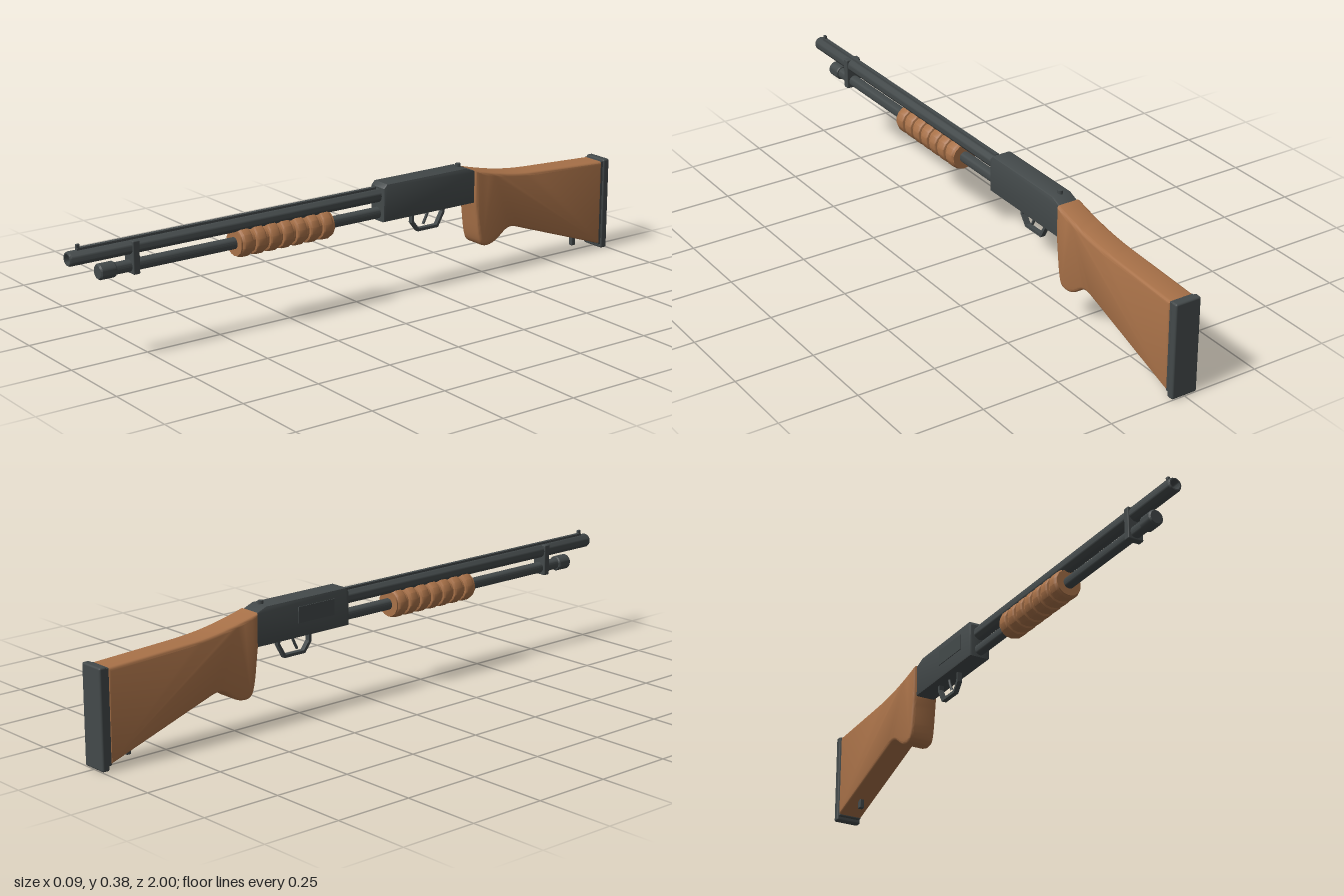
import * as THREE from 'three';
import { toCreasedNormals } from 'three/addons/utils/BufferGeometryUtils.js';
import { RoundedBoxGeometry } from 'three/addons/geometries/RoundedBoxGeometry.js';

export function createModel() {
  const model = new THREE.Group();
  model.name = 'pumpActionLongGun';
  const metal = new THREE.MeshStandardMaterial({ color: 0x43494a });
  metal.name = 'dark metal';
  const wood = new THREE.MeshStandardMaterial({ color: 0xa87148 });
  wood.name = 'wood';

  const add = (name, geometry, material, x = 0, y = 0, z = 0) => {
    const mesh = new THREE.Mesh(geometry, material);
    mesh.name = name;
    mesh.position.set(x, y, z);
    model.add(mesh);
    return mesh;
  };

  // Box given by its size and centre
  const box = (name, w, h, d, x, y, z, r = 0) =>
    add(name, r ? new RoundedBoxGeometry(w, h, d, 2, r) : new THREE.BoxGeometry(w, h, d), metal, x, y, z);

  // Turned part along z; profile points are [radius, z]
  const turned = (name, points, y, material, sides = 24) => {
    const g = new THREE.LatheGeometry(points.map(([r, z]) => new THREE.Vector2(r, z)), sides);
    g.rotateX(Math.PI / 2);
    return add(name, toCreasedNormals(g, 0.6), material, 0, y, 0);
  };

  // Side outline drawn in (z, y), extruded across x with bevelled edges
  const slab = (name, shape, halfWidth, bevel, segments, material) => {
    const g = new THREE.ExtrudeGeometry(shape, {
      depth: 2 * (halfWidth - bevel), curveSegments: 10, bevelEnabled: bevel > 0,
      bevelThickness: bevel, bevelSize: bevel, bevelOffset: -bevel, bevelSegments: segments,
    });
    g.translate(0, 0, -(halfWidth - bevel));
    g.rotateY(-Math.PI / 2);
    return add(name, toCreasedNormals(g, 0.6), material);
  };
  const polygon = (points) => new THREE.Shape(points.map(([z, y]) => new THREE.Vector2(z, y)));

  // Barrel with an open bore
  turned('barrel', [[0, -0.1], [0.022, -0.1], [0.022, 0.994], [0.019, 1], [0.015, 1], [0.015, 0.9], [0, 0.9]], 0.329, metal);
  box('barrelRib', 0.012, 0.01, 1.04, 0, 0.352, 0.45);
  box('frontSight', 0.008, 0.016, 0.012, 0, 0.36, 0.965, 0.002);

  // Magazine tube and end cap
  turned('magazineTube', [[0, -0.1], [0.018, -0.1], [0.018, 0.86], [0, 0.86]], 0.273, metal);
  turned('magazineCap', [[0, 0.852], [0.021, 0.852], [0.024, 0.856], [0.024, 0.9], [0.02, 0.905], [0, 0.905]], 0.273, metal);

  // Clamp joining barrel and tube
  box('barrelClamp', 0.05, 0.1, 0.022, 0, 0.3, 0.79, 0.003);

  // Ribbed sliding fore-end
  const ribs = 7, start = 0.11, pitch = 0.335 / ribs;
  const profile = [[0, start]];
  for (let i = 0; i < ribs; i++) {
    const a = start + i * pitch, b = a + pitch;
    profile.push([0.037, a], [0.037, a + 0.005], [0.043, a + 0.007], [0.046, a + 0.012],
      [0.046, b - 0.012], [0.043, b - 0.007], [0.037, b - 0.005]);
  }
  profile.push([0.037, start + 0.335], [0, start + 0.335]);
  // solid ends
  profile[1][0] = profile[2][0] = 0.041;
  profile[profile.length - 2][0] = profile[profile.length - 3][0] = 0.041;
  turned('foreEnd', profile, 0.274, wood, 14);

  // Receiver
  slab('receiver', polygon([
    [-0.08, 0.248], [-0.08, 0.355], [-0.092, 0.368], [-0.4, 0.368], [-0.438, 0.353], [-0.438, 0.248],
  ]), 0.034, 0.006, 2, metal);
  box('ejectionPort', 0.006, 0.05, 0.14, -0.0335, 0.318, -0.21);
  const safety = add('safetyButton', new THREE.CylinderGeometry(0.008, 0.008, 0.016, 16), metal, 0, 0.37, -0.395);
  safety.scale.z = 1.1;

  // Trigger guard: flat strip with a hole
  const guard = polygon([
    [-0.208, 0.252], [-0.208, 0.217], [-0.232, 0.186], [-0.312, 0.186], [-0.338, 0.232], [-0.338, 0.252],
  ]);
  guard.holes.push(new THREE.Path([
    [-0.217, 0.25], [-0.326, 0.25], [-0.329, 0.234], [-0.307, 0.195], [-0.237, 0.195], [-0.217, 0.221],
  ].map(([z, y]) => new THREE.Vector2(z, y))));
  slab('triggerGuard', guard, 0.008, 0, 1, metal);

  // Curved trigger
  const triggerPath = new THREE.CatmullRomCurve3([
    [0.255, -0.278], [0.235, -0.273], [0.218, -0.265], [0.204, -0.258],
  ].map(([y, z]) => new THREE.Vector3(0, y, z)));
  add('trigger', new THREE.TubeGeometry(triggerPath, 10, 0.0045, 8), metal);

  // Stock with pistol grip
  const stock = new THREE.Shape();
  stock.moveTo(-0.436, 0.355);
  stock.bezierCurveTo(-0.53, 0.33, -0.6, 0.316, -0.7, 0.311);
  stock.lineTo(-0.97, 0.298);
  stock.lineTo(-0.97, 0.016);
  stock.lineTo(-0.61, 0.14);
  stock.bezierCurveTo(-0.57, 0.155, -0.555, 0.13, -0.53, 0.114);
  stock.bezierCurveTo(-0.505, 0.098, -0.47, 0.092, -0.458, 0.115);
  stock.bezierCurveTo(-0.446, 0.14, -0.443, 0.2, -0.436, 0.25);
  stock.closePath();
  slab('stock', stock, 0.042, 0.01, 3, wood);

  // Butt pad in two layers, and sling stud
  box('buttSpacer', 0.078, 0.286, 0.014, 0, 0.156, -0.972, 0.003);
  box('buttPad', 0.086, 0.304, 0.025, 0, 0.152, -0.9875, 0.006);
  box('slingStud', 0.016, 0.034, 0.016, 0, 0.035, -0.885, 0.003);

  return model;
}
